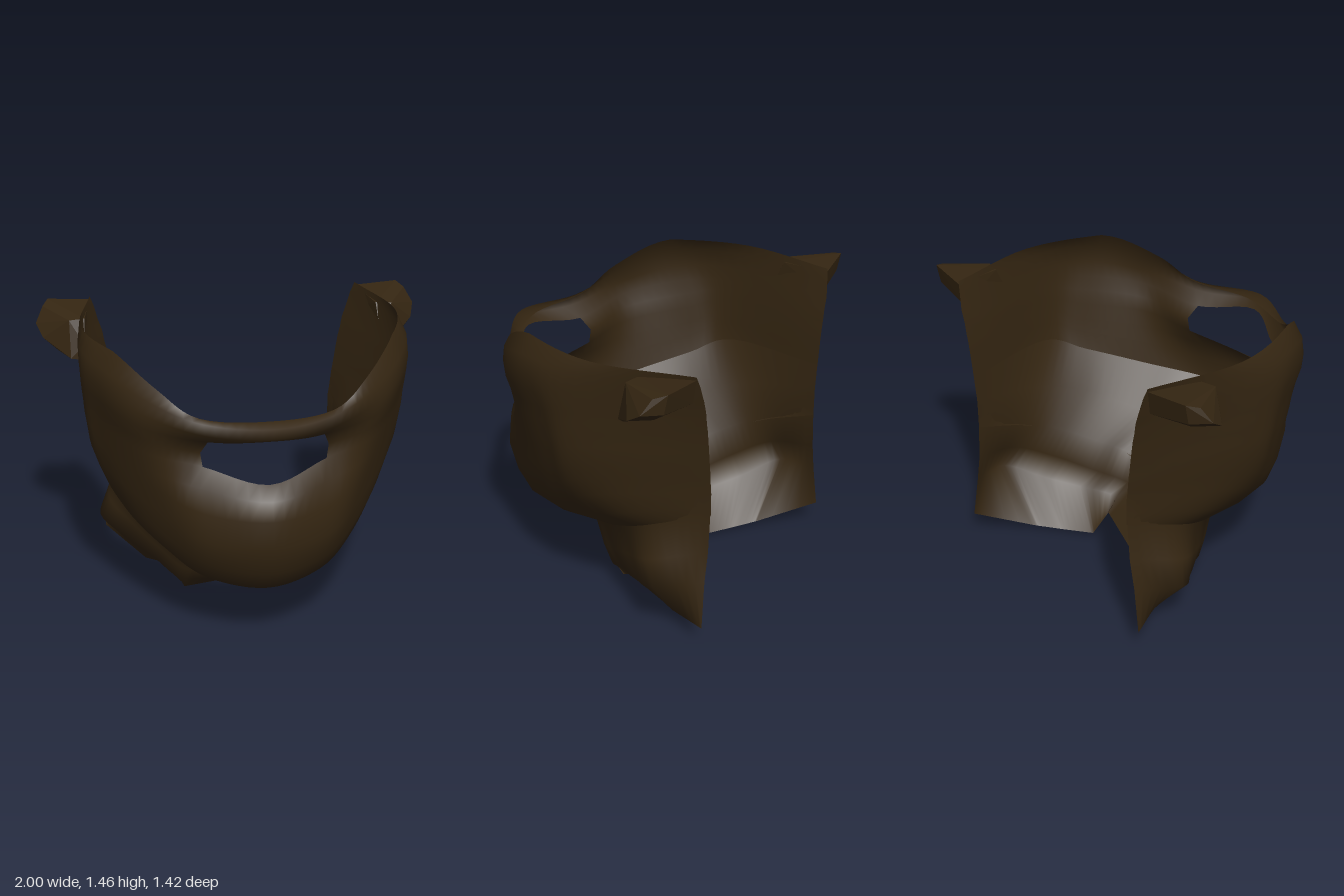
import * as THREE from 'three';
import { ConvexGeometry } from 'three/addons/geometries/ConvexGeometry.js';

const brown = new THREE.MeshStandardMaterial({ color: 0x352612, side: THREE.DoubleSide });
brown.name = 'darkBrown';

// Rows run from the front centre line to the back edge; each is mirrored and
// joined to the next. isGap(row, span) leaves out quads, span 0 being at the centre.
// A lastTension of 0 gives the last row straight sides.
function loft(rows, segs, isGap, lastTension = 0.5) {
  const position = [], index = [];
  const spans = rows[0].length - 1, n = spans * 2 * segs;
  rows.forEach((row, r) => {
    const half = row.map((p) => new THREE.Vector3(...p));
    const mirrored = half.slice(1).reverse().map((p) => new THREE.Vector3(-p.x, p.y, p.z));
    const tension = r === rows.length - 1 ? lastTension : 0.5;
    const curve = new THREE.CatmullRomCurve3([...mirrored, ...half], false, 'catmullrom', tension);
    for (let i = 0; i <= n; i++) {
      const p = curve.getPoint(i / n);
      position.push(p.x, Math.min(p.y, 1.455), p.z);
    }
  });
  for (let r = 0; r < rows.length - 1; r++) {
    for (let i = 0; i < n; i++) {
      const span = Math.floor(Math.abs(i + 0.5 - n / 2) / segs);
      if (isGap(r, span)) continue;
      const a = r * (n + 1) + i, b = a + n + 1;
      index.push(a, a + 1, b + 1, a, b + 1, b);
    }
  }
  const g = new THREE.BufferGeometry();
  g.setAttribute('position', new THREE.Float32BufferAttribute(position, 3));
  g.setIndex(index);
  g.computeVertexNormals();
  return g;
}

function add(group, name, geometry) {
  const mesh = new THREE.Mesh(geometry, brown);
  mesh.name = name;
  group.add(mesh);
}

export function createModel() {
  const group = new THREE.Group();
  group.name = 'faceCover';

  // Chin, jaw and lower lip of the opening
  const chin = [
    [[0, 0.25, 0.09], [0.3, 0.32, 0.08], [0.43, 0.39, -0.02], [0.55, 0.47, -0.18], [0.61, 0.57, -0.4], [0.58, 0.69, -0.7]],
    [[0, 0.26, 0.32], [0.3, 0.31, 0.27], [0.44, 0.39, 0.18], [0.57, 0.49, 0.01], [0.67, 0.63, -0.28], [0.58, 0.75, -0.7]],
    [[0, 0.33, 0.58], [0.28, 0.36, 0.48], [0.46, 0.46, 0.34], [0.63, 0.58, 0.09], [0.72, 0.73, -0.18], [0.58, 0.81, -0.7]],
    [[0, 0.45, 0.67], [0.28, 0.47, 0.57], [0.48, 0.56, 0.38], [0.67, 0.68, 0.1], [0.75, 0.82, -0.14], [0.59, 0.88, -0.7]],
    [[0, 0.6, 0.71], [0.3, 0.61, 0.6], [0.5, 0.69, 0.39], [0.71, 0.8, 0.1], [0.78, 0.92, -0.13], [0.6, 0.96, -0.7]],
    [[0, 0.74, 0.71], [0.31, 0.75, 0.58], [0.53, 0.82, 0.38], [0.73, 0.91, 0.1], [0.79, 1.0, -0.12], [0.61, 1.03, -0.7]],
    [[0, 0.83, 0.68], [0.32, 0.86, 0.53], [0.54, 0.91, 0.39], [0.74, 0.98, 0.11], [0.8, 1.07, -0.12], [0.62, 1.1, -0.7]],
    [[0, 0.885, 0.6], [0.3, 0.95, 0.48], [0.55, 1.0, 0.39], [0.74, 1.06, 0.13], [0.805, 1.13, -0.12], [0.63, 1.16, -0.7]],
  ];
  // Cheeks, with the bar that bridges the opening
  const cheeks = [
    [[0, 1.0, 0.6], [0.31, 1.02, 0.475], [0.56, 1.07, 0.4], [0.75, 1.13, 0.14], [0.81, 1.18, -0.12], [0.64, 1.2, -0.7]],
    [[0, 1.13, 0.66], [0.28, 1.09, 0.52], [0.57, 1.14, 0.42], [0.75, 1.2, 0.17], [0.815, 1.23, -0.12], [0.65, 1.26, -0.7]],
    [[0, 1.16, 0.71], [0.3, 1.145, 0.58], [0.57, 1.21, 0.43], [0.75, 1.28, 0.2], [0.82, 1.3, -0.12], [0.67, 1.32, -0.7]],
    [[0, 1.205, 0.7], [0.31, 1.2, 0.57], [0.54, 1.275, 0.44], [0.73, 1.37, 0.22], [0.82, 1.39, -0.14], [0.69, 1.4, -0.69]],
    [[0, 1.21, 0.61], [0.32, 1.215, 0.53], [0.5, 1.33, 0.43], [0.68, 1.455, 0.2], [0.8, 1.455, -0.2], [0.71, 1.455, -0.68]],
  ];
  const isOpening = (row, span) => span === 0 && (row === 7 || row === 8);
  add(group, 'jawAndCheeks', loft([...chin, ...cheeks], 6, isOpening));

  // Neck collar: a lining inside the jaw that flares out below it, notched at each side
  const collar = [
    [[0, 0.62, 0.69], [0.29, 0.64, 0.58], [0.49, 0.71, 0.37], [0.69, 0.82, 0.09], [0.765, 0.92, -0.14], [0.6, 0.97, -0.7]],
    [[0, 0.42, 0.4], [0.26, 0.45, 0.35], [0.43, 0.53, 0.21], [0.59, 0.64, 0], [0.66, 0.74, -0.3], [0.585, 0.84, -0.7]],
    [[0, 0.27, 0.14], [0.3, 0.33, 0.09], [0.42, 0.4, -0.03], [0.54, 0.49, -0.2], [0.61, 0.58, -0.4], [0.585, 0.69, -0.7]],
    [[0, 0.17, 0.05], [0.3, 0.18, 0.04], [0.44, 0.25, -0.09], [0.57, 0.34, -0.25], [0.67, 0.42, -0.43], [0.6, 0.5, -0.7]],
    [[0, 0.1, -0.05], [0.32, 0.1, -0.02], [0.46, 0.16, -0.16], [0.59, 0.22, -0.31], [0.715, 0.3, -0.47], [0.63, 0.35, -0.7]],
    [[0, 0, -0.19], [0.32, 0.025, -0.08], [0.23, 0.02, -0.26], [0.36, 0.022, -0.36], [0.48, 0.025, -0.45], [0.67, 0.12, -0.71]],
  ];
  add(group, 'neckCollar', loft(collar, 6, () => false, 0));

  // Side stubs: broad root on the cheek narrowing to a blunt tip
  const stub = [
    [0.76, 1.42, -0.42], [0.77, 1.3, -0.36], [0.78, 1.22, -0.36], [0.7, 1.32, -0.66], [0.71, 1.44, -0.68],
    [0.84, 1.42, -0.4], [0.84, 1.23, -0.36], [0.9, 1.26, -0.42], [0.84, 1.27, -0.54], [0.9, 1.44, -0.55],
    [0.93, 1.46, -0.66], [0.96, 1.44, -0.6], [1, 1.365, -0.56], [0.97, 1.31, -0.48], [0.93, 1.36, -0.64],
  ];
  for (const [side, name] of [[1, 'leftStub'], [-1, 'rightStub']]) {
    add(group, name, new ConvexGeometry(stub.map(([x, y, z]) => new THREE.Vector3(side * x, y, z))));
  }
  return group;
}
